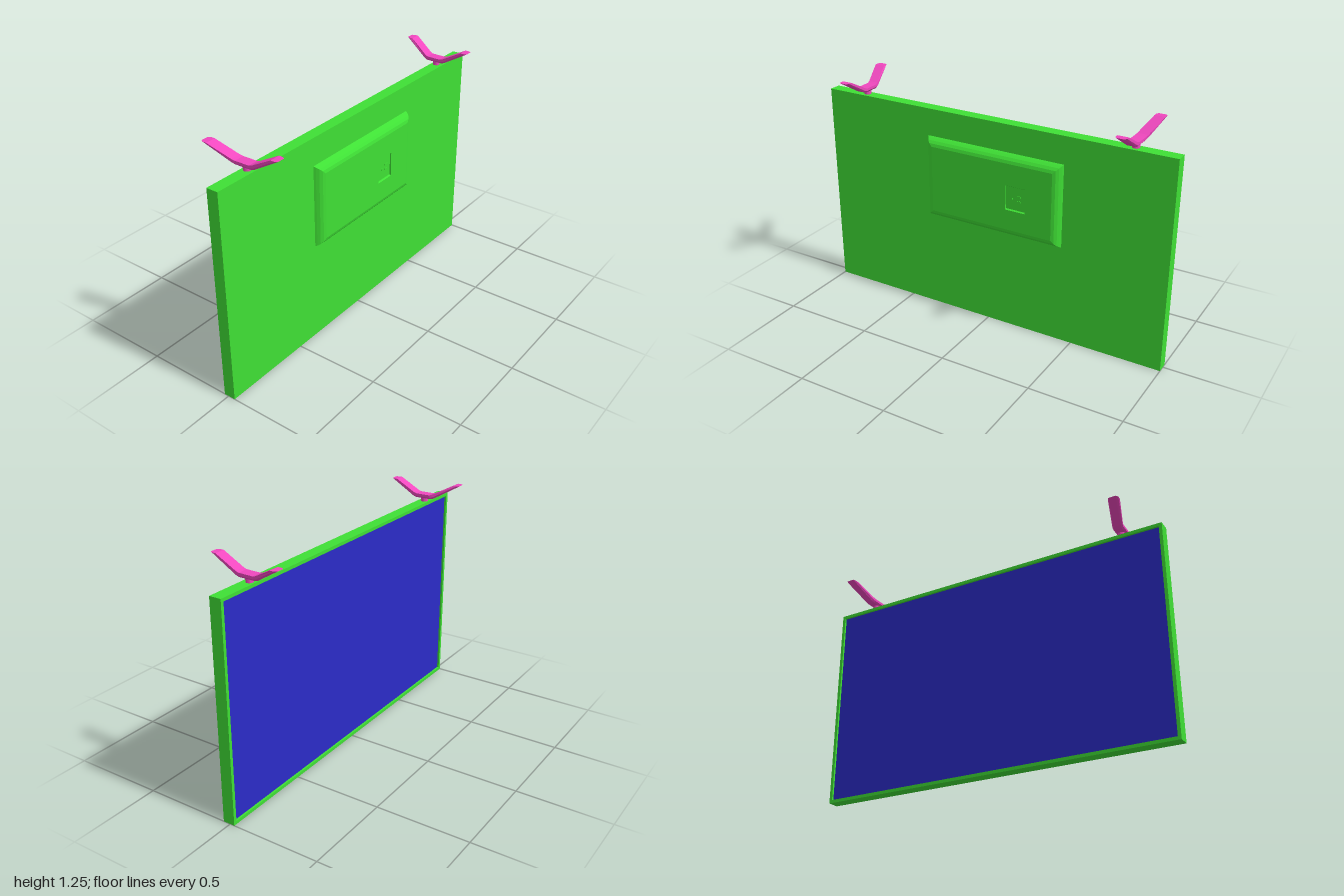
import * as THREE from 'three';

const mat = (color, side = THREE.FrontSide) =>
  new THREE.MeshStandardMaterial({ color, side, flatShading: true });

function add(parent, name, geometry, material, x = 0, y = 0, z = 0) {
  const mesh = new THREE.Mesh(geometry, material);
  mesh.name = name;
  mesh.position.set(x, y, z);
  parent.add(mesh);
  return mesh;
}

// Skin a list of equal-length rings of [x, y, z]; caps are optional
function loft(rings, capped) {
  const n = rings[0].length;
  const index = [];
  for (let i = 0; i < rings.length - 1; i++) {
    for (let j = 0; j < n; j++) {
      const a = i * n + j, b = i * n + (j + 1) % n;
      index.push(a, b, b + n, a, b + n, a + n);
    }
  }
  if (capped) {
    const last = (rings.length - 1) * n;
    for (let j = 1; j < n - 1; j++) {
      index.push(0, j + 1, j, last, last + j, last + j + 1);
    }
  }
  const indexed = new THREE.BufferGeometry();
  indexed.setAttribute('position', new THREE.Float32BufferAttribute(rings.flat(2), 3));
  indexed.setIndex(index);
  const geometry = indexed.toNonIndexed();
  geometry.computeVertexNormals();
  return geometry;
}

const rect = (x0, y0, x1, y1, z) => [[x0, y0, z], [x1, y0, z], [x1, y1, z], [x0, y1, z]];

function rectPath(PathClass, x0, y0, x1, y1) {
  return new PathClass([[x0, y0], [x1, y0], [x1, y1], [x0, y1]].map(p => new THREE.Vector2(...p)));
}

export function createModel() {
  const model = new THREE.Group();
  model.name = 'television';
  const green = mat(0x3fe035);
  const greenThin = mat(0x3fe035, THREE.DoubleSide);
  const pink = mat(0xf048bf);
  const blue = mat(0x2b2bc8);

  // Flat cabinet with a raised bezel around the sunken screen
  const H = 1.144, bezel = 0.017;
  add(model, 'cabinet', new THREE.BoxGeometry(2, H, 0.051), green, 0, H / 2, 0.0135);
  const frame = rectPath(THREE.Shape, -1, 0, 1, H);
  frame.holes.push(rectPath(THREE.Path, -1 + bezel, bezel, 1 - bezel, H - bezel));
  add(model, 'bezel', new THREE.ExtrudeGeometry(frame, { depth: 0.013, bevelEnabled: false }),
    green, 0, 0, -0.025);
  add(model, 'screen', new THREE.BoxGeometry(2 - 2 * bezel, H - 2 * bezel, 0.002), blue,
    0, H / 2, -0.013);

  // Electronics housing with rounded-over edges
  const housing = new THREE.Group();
  housing.name = 'electronicsHousing';
  model.add(housing);
  const x0 = -0.362, x1 = 0.428, y0 = 0.545, y1 = 0.996;
  const profile = [[0, 0.039], [0.005, 0.049], [0.014, 0.063], [0.027, 0.074], [0.043, 0.079]];
  add(housing, 'housingSides',
    loft(profile.map(([d, z]) => rect(x0 + d, y0 + d, x1 - d, y1 - d, z)), false), green);

  // Housing face with a shallow connector recess
  const inset = 0.043, px0 = 0.125, px1 = 0.237, py0 = 0.7, py1 = 0.835;
  const face = rectPath(THREE.Shape, x0 + inset, y0 + inset, x1 - inset, y1 - inset);
  face.holes.push(rectPath(THREE.Path, px0, py0, px1, py1));
  add(housing, 'housingFace', new THREE.ShapeGeometry(face), greenThin, 0, 0, 0.079);
  add(housing, 'recessWalls', loft([
    rect(px0, py0, px1, py1, 0.079),
    rect(px0, py0 + 0.005, px1, py1 - 0.005, 0.071),
  ], false), greenThin);
  add(housing, 'recessFloor', new THREE.PlaneGeometry(px1 - px0, py1 - py0), green,
    (px0 + px1) / 2, (py0 + py1) / 2, 0.071);
  for (const [x, y, w] of [[0.16, 0.765, 0.01], [0.2, 0.782, 0.022], [0.2, 0.755, 0.022]]) {
    add(housing, 'socket', new THREE.BoxGeometry(w, 0.009, 0.004), green, x, y, 0.072);
  }

  // V-shaped feet: [z lower, y lower, z upper, y upper, outward splay]
  const stations = [
    [0.203, 1.252, 0.168, 1.252, 0],
    [0.066, 1.171, 0.056, 1.192, 0],
    [0.046, 1.164, 0.04, 1.187, 0],
    [-0.046, 1.164, -0.04, 1.187, 0.002],
    [-0.066, 1.171, -0.056, 1.192, 0.006],
    [-0.203, 1.252, -0.168, 1.252, 0.042],
  ];
  // Cross-section across the foot with chamfered lower edges
  const section = [[0.02, 0], [-0.02, 0], [-0.028, 0.4], [-0.028, 1], [0.028, 1], [0.028, 0.4]];
  for (const side of [-1, 1]) {
    const foot = new THREE.Group();
    foot.name = side > 0 ? 'leftFoot' : 'rightFoot';
    foot.position.x = side * 0.775;
    model.add(foot);
    const rings = stations.map(([zl, yl, zu, yu, splay]) => section.map(([x, t]) =>
      [x + side * splay, yl + (yu - yl) * t, zl + (zu - zl) * t]));
    add(foot, 'footArms', loft(rings, true), pink);
    add(foot, 'footPost', new THREE.CylinderGeometry(0.019, 0.019, 0.03, 16), pink, 0, 1.154, 0.003);
  }
  return model;
}
